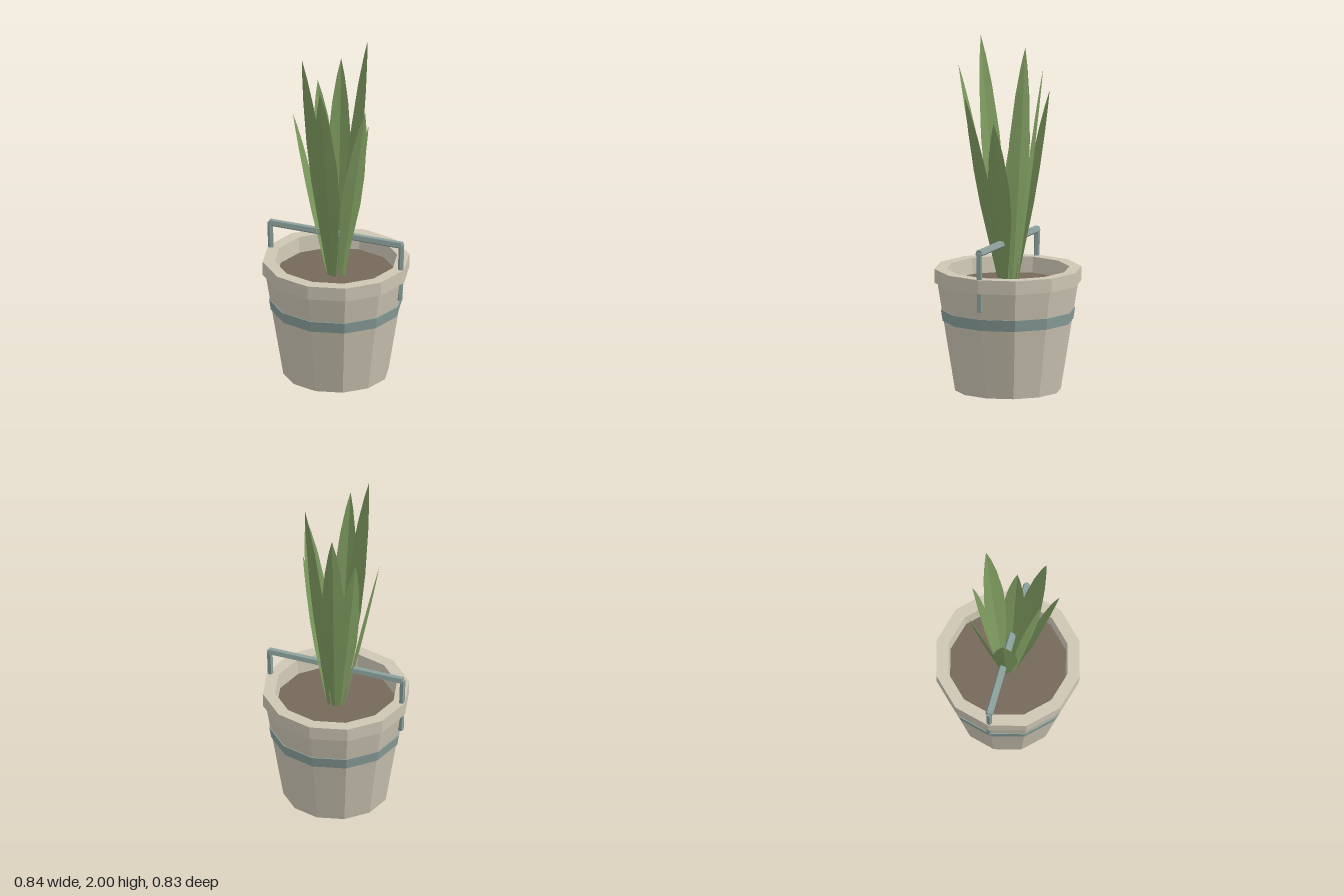
import * as THREE from 'three';

const mat = (name, color, extra = {}) => {
  const m = new THREE.MeshStandardMaterial({ color, flatShading: true, ...extra });
  m.name = name;
  return m;
};

const SIDES = 12;

// Twelve-sided turned part from [radius, height] pairs
function turned(name, profile, material) {
  const points = profile.map(([r, y]) => new THREE.Vector2(r, y));
  const mesh = new THREE.Mesh(new THREE.LatheGeometry(points, SIDES), material);
  mesh.name = name;
  return mesh;
}

// Five-sided rod between two points
function rod(name, a, b, radius, material) {
  const dir = b.clone().sub(a);
  const mesh = new THREE.Mesh(new THREE.CylinderGeometry(radius, radius, dir.length(), 5), material);
  mesh.position.copy(a).add(b).multiplyScalar(0.5);
  mesh.quaternion.setFromUnitVectors(new THREE.Vector3(0, 1, 0), dir.normalize());
  mesh.name = name;
  return mesh;
}

// Leaf with a shallow fold along its middle, running from the soil to the tip
const LEAF_SECTIONS = [[0, 0.016], [0.2, 0.042], [0.42, 0.068], [0.6, 0.067], [0.8, 0.045], [0.92, 0.022], [1, 0]];

function leaf(tip, material) {
  const radial = new THREE.Vector3(tip.x, 0, tip.z).normalize();
  const base = radial.clone().multiplyScalar(0.05).setY(0.6);
  const side = new THREE.Vector3(0, 1, 0).cross(radial);
  const positions = [];
  const index = [];
  LEAF_SECTIONS.forEach(([t, half], i) => {
    const centre = base.clone().lerp(tip, t);
    for (const s of [-1, 0, 1]) {
      const p = centre.clone().addScaledVector(side, s * half);
      p.addScaledVector(radial, (s === 0 ? 0.12 : -0.12) * half);
      positions.push(p.x, p.y, p.z);
    }
    if (i === 0) return;
    for (const k of [0, 1]) {
      const a = (i - 1) * 3 + k;
      const b = i * 3 + k;
      index.push(a, a + 1, b + 1, a, b + 1, b);
    }
  });
  const geometry = new THREE.BufferGeometry();
  geometry.setAttribute('position', new THREE.Float32BufferAttribute(positions, 3));
  geometry.setIndex(index);
  geometry.computeVertexNormals();
  const mesh = new THREE.Mesh(geometry, material);
  mesh.name = 'leaf';
  return mesh;
}

export function createModel() {
  const clay = mat('pale clay', 0xcdc6b4);
  const metal = mat('blue grey', 0x8ba09c);
  const earth = mat('soil brown', 0x75695a);
  const green = mat('leaf green', 0x7f9c60, { side: THREE.DoubleSide });
  const model = new THREE.Group();
  model.name = 'pottedPlant';

  // Pot, rim, painted band and soil
  model.add(turned('potBody', [[0, 0], [0.3, 0], [0.402, 0.63]], clay));
  model.add(turned('potRim', [[0.39, 0.62], [0.417, 0.62], [0.417, 0.7], [0.348, 0.7], [0.336, 0.6]], clay));
  model.add(turned('band', [[0.36, 0.4], [0.371, 0.4], [0.381, 0.465], [0.37, 0.465]], metal));
  const soil = new THREE.Mesh(new THREE.CircleGeometry(0.338, SIDES), earth);
  soil.rotation.x = -Math.PI / 2;
  soil.position.y = 0.61;
  soil.name = 'soil';
  model.add(soil);

  // Handle: a bar between two slightly splayed posts
  const handle = new THREE.Group();
  handle.name = 'handle';
  const bar = new THREE.Mesh(new THREE.CylinderGeometry(0.022, 0.022, 0.81, 5), metal);
  bar.rotation.set(0, -Math.PI / 2, Math.PI / 2, 'ZYX');
  bar.position.y = 0.85;
  bar.name = 'handleBar';
  handle.add(bar);
  for (const s of [-1, 1]) {
    handle.add(rod('handlePost', new THREE.Vector3(s * 0.391, 0.51, 0), new THREE.Vector3(s * 0.402, 0.853, 0), 0.017, metal));
  }
  model.add(handle);

  // Ring of leaves, each given by its tip
  const leaves = new THREE.Group();
  leaves.name = 'leaves';
  const tips = [
    [0.245, 1.71, 0.158], [0.025, 1.85, 0.295], [-0.115, 2, 0.22], [-0.247, 1.57, 0.04],
    [-0.185, 1.7, -0.175], [-0.05, 1.85, -0.195], [0.125, 2, -0.163], [0.2, 1.56, 0],
  ];
  for (const t of tips) leaves.add(leaf(new THREE.Vector3(...t), green));
  model.add(leaves);

  return model;
}
